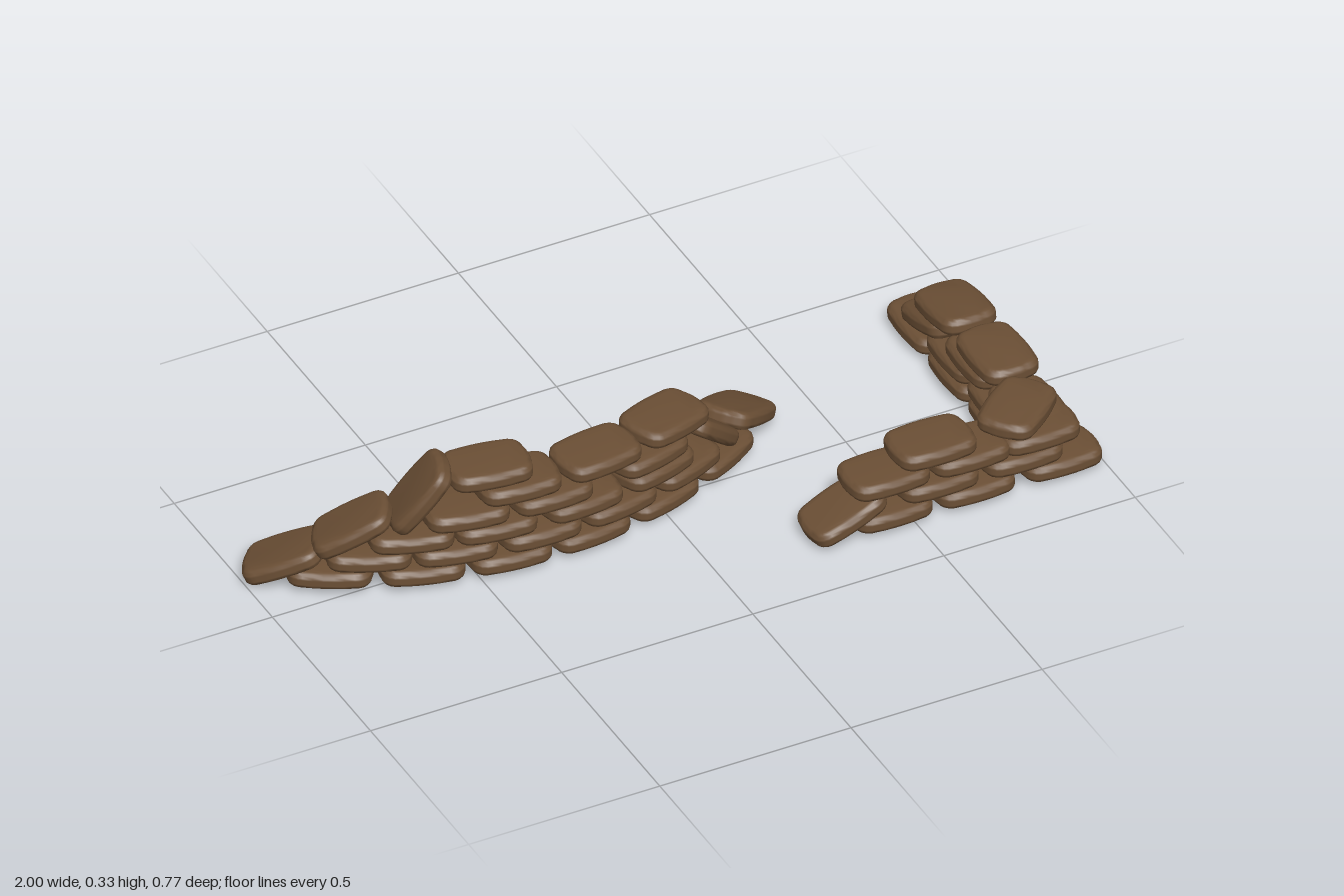
import * as THREE from 'three';
import { mergeVertices, toCreasedNormals } from 'three/addons/utils/BufferGeometryUtils.js';

const LENGTH = 0.208, HEIGHT = 0.045, DEPTH = 0.15;
const ROWS = [0.032, 0.079, 0.126, 0.173, 0.224, 0.28];
const DEG = Math.PI / 180;

// A filled sack: soft rectangular outline with slightly bulging sides and rounded rim
function bagGeometry() {
  const rim = 0.021, a = LENGTH / 2 - rim, b = DEPTH / 2 - rim, c = 0.024, s = 0.004;
  const shape = new THREE.Shape();
  shape.moveTo(-a + c, -b + s);
  shape.quadraticCurveTo(0, -b - s, a - c, -b + s);
  shape.quadraticCurveTo(a - s, -b + s, a - s, -b + c);
  shape.quadraticCurveTo(a + s, 0, a - s, b - c);
  shape.quadraticCurveTo(a - s, b - s, a - c, b - s);
  shape.quadraticCurveTo(0, b + s, -a + c, b - s);
  shape.quadraticCurveTo(-a + s, b - s, -a + s, b - c);
  shape.quadraticCurveTo(-a - s, 0, -a + s, -b + c);
  shape.quadraticCurveTo(-a + s, -b + s, -a + c, -b + s);
  const thick = 0.016;
  const geo = new THREE.ExtrudeGeometry(shape, {
    depth: HEIGHT - 2 * thick, bevelThickness: thick, bevelSize: rim,
    bevelSegments: 5, curveSegments: 5,
  });
  geo.translate(0, 0, -(HEIGHT - 2 * thick) / 2);
  geo.rotateX(-Math.PI / 2);
  geo.deleteAttribute('uv');
  geo.deleteAttribute('normal');
  return toCreasedNormals(mergeVertices(geo, 1e-5), 50 * DEG);
}

export function createModel() {
  const model = new THREE.Group();
  model.name = 'sandbagBarricade';
  const burlap = new THREE.MeshStandardMaterial({ color: 0x6b4f35 });
  burlap.name = 'brown burlap';
  const geo = bagGeometry();

  const addBag = (parent, name, x, y, z, yaw = 0, pitch = 0) => {
    const bag = new THREE.Mesh(geo, burlap);
    bag.name = name;
    bag.position.set(x, y, z);
    bag.rotation.set(0, yaw, pitch * DEG, 'YZX');
    parent.add(bag);
  };

  // Curved wall: bags follow a circular arc bowing toward the front
  const curvedWall = new THREE.Group();
  curvedWall.name = 'curvedWall';
  model.add(curvedWall);
  const R = 1.016, CX = -0.313, CZ = 0.053;
  const arcBag = (name, x, y, pitch = 0) => {
    const t = Math.asin((x - CX) / R);
    addBag(curvedWall, name, x, y, CZ - R * (1 - Math.cos(t)), t, pitch);
  };
  const arcRows = [
    [-0.81, -0.616, -0.414, -0.21, -0.006, 0.186],
    [-0.73, -0.543, -0.34, -0.135, 0.065],
    [-0.64, -0.45, -0.23, -0.022],
    [-0.515, -0.31, -0.04],
    [-0.39, -0.178],
    [-0.46],
  ];
  arcRows.forEach((row, i) => row.forEach((x) => arcBag('curvedWallBag', x, ROWS[i])));
  arcBag('curvedWallBag', 0.027, 0.222, -3);

  // Slumped bags at both ends of the curve
  arcBag('slumpedBag', -0.9, 0.055, 25);
  arcBag('slumpedBag', -0.765, 0.15, 30);
  arcBag('slumpedBag', -0.62, 0.235, 52);
  arcBag('slumpedBag', 0.145, 0.13, -40);
  arcBag('slumpedBag', 0.285, 0.07, -24);

  // Corner wall: one leg across the front, one leg running back
  const cornerWall = new THREE.Group();
  cornerWall.name = 'cornerWall';
  model.add(cornerWall);
  const FRONT_Z = 0.303, SIDE_X = 0.863;
  const frontRows = [[0.45, 0.665, 0.893], [0.57, 0.79], [0.443, 0.652], [0.565]];
  const sideRows = [[0.127, -0.078, -0.287], [0.123, -0.085], [0.228, 0.01], [0.065]];
  frontRows.forEach((row, i) => row.forEach((x) =>
    addBag(cornerWall, 'frontLegBag', x, ROWS[i], FRONT_Z)));
  sideRows.forEach((row, i) => row.forEach((z) =>
    addBag(cornerWall, 'sideLegBag', SIDE_X, ROWS[i], z, Math.PI / 2)));

  // Corner pieces and slumped ends
  addBag(cornerWall, 'cornerBag', 0.835, ROWS[2], FRONT_Z);
  addBag(cornerWall, 'cornerTopBag', 0.805, ROWS[3], 0.277, 40 * DEG);
  addBag(cornerWall, 'slumpedBag', 0.335, 0.058, FRONT_Z, 0, 23);
  addBag(cornerWall, 'slumpedBag', SIDE_X, 0.1, -0.218, Math.PI / 2, -16);
  addBag(cornerWall, 'slumpedBag', SIDE_X, 0.166, -0.15, Math.PI / 2, -8);

  return model;
}
